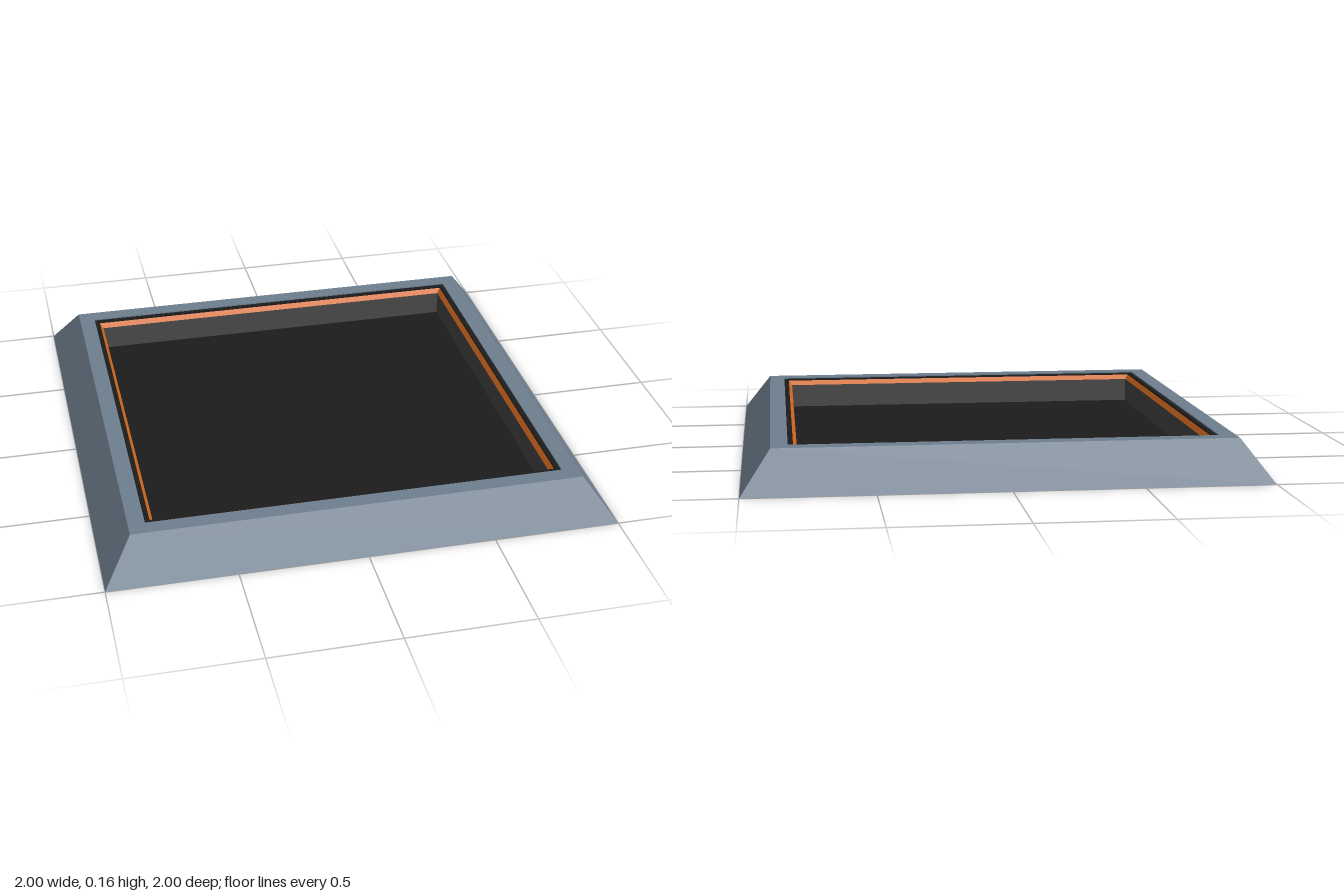
import * as THREE from 'three';

// Sweeps a [half width, height] profile around a square; listed so the visible side faces out
function squareSweep(name, color, profile) {
  const points = profile.map(([half, y]) => new THREE.Vector2(half * Math.SQRT2, y));
  const geometry = new THREE.LatheGeometry(points, 4, Math.PI / 4).toNonIndexed();
  geometry.computeVertexNormals();
  const material = new THREE.MeshStandardMaterial({ color, flatShading: true, side: THREE.DoubleSide });
  const mesh = new THREE.Mesh(geometry, material);
  mesh.name = name;
  return mesh;
}

export function createModel() {
  const model = new THREE.Group();
  model.name = 'squareTray';

  model.add(
    // Closed underside, sloping outer sides and flat top border
    squareSweep('frame', 0x708090, [[0, 0], [1, 0], [0.885, 0.16], [0.82, 0.16], [0.82, 0.155]]),
    // Thin dark lip just inside the border
    squareSweep('lip', 0x1c1c1c, [[0.82, 0.155], [0.8, 0.155], [0.8, 0.149]]),
    // Bevelled accent strip
    squareSweep('accentStrip', 0xd2691e, [[0.8, 0.149], [0.785, 0.13]]),
    // Upright walls of the recess
    squareSweep('recessWalls', 0x4a4a4a, [[0.785, 0.13], [0.785, 0.03]]),
    // Dark floor of the recess
    squareSweep('recessFloor', 0x1c1c1c, [[0.785, 0.03], [0, 0.03]]),
  );
  return model;
}
